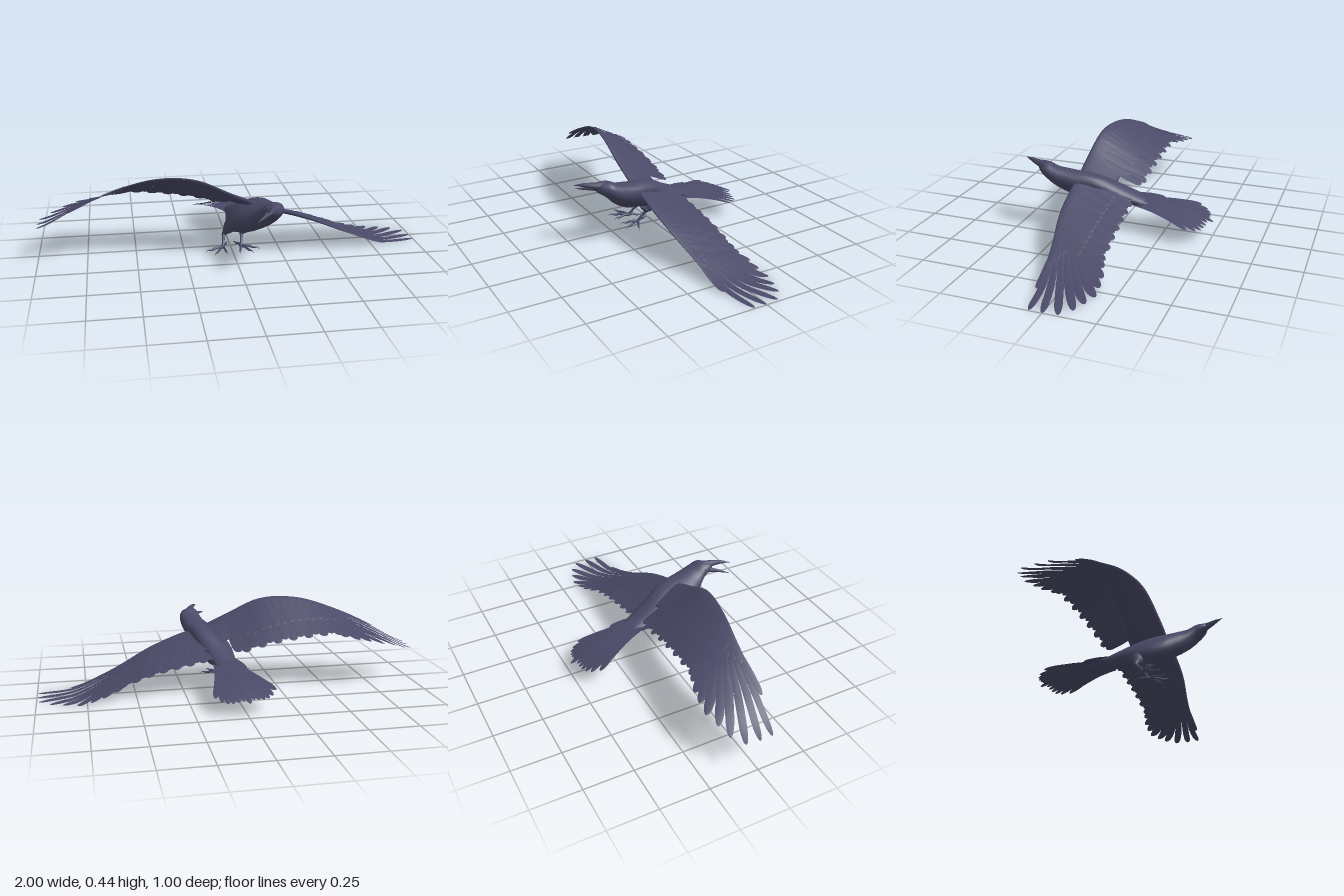
import * as THREE from 'three';

const V = (x, y, z) => new THREE.Vector3(x, y, z);
const lerp = THREE.MathUtils.lerp;
const plumage = new THREE.MeshStandardMaterial({ color: 0x4a4a68, side: THREE.DoubleSide });

// Skin a list of cross-sections (arrays of Vector3 of equal length)
function loft(rows, closed, name) {
  const n = rows[0].length, pos = [], idx = [];
  rows.forEach(r => r.forEach(p => pos.push(p.x, p.y, p.z)));
  for (let i = 0; i < rows.length - 1; i++) {
    for (let j = 0; j < (closed ? n : n - 1); j++) {
      const k = (j + 1) % n, a = i * n + j, b = i * n + k, c = a + n, d = b + n;
      idx.push(a, b, c, b, d, c);
    }
  }
  const g = new THREE.BufferGeometry();
  g.setAttribute('position', new THREE.Float32BufferAttribute(pos, 3));
  g.setIndex(idx);
  g.computeVertexNormals();
  const m = new THREE.Mesh(g, plumage);
  m.name = name;
  return m;
}

// Smooth function through values evenly spaced over from..1
function spline(values, from = 0) {
  const c = new THREE.SplineCurve(values.map((v, i) => new THREE.Vector2(i, v)));
  return u => c.getPoint(THREE.MathUtils.clamp((u - from) / (1 - from), 0, 1)).y;
}

// Round limb along a curve, radius following a list of values
function taper(points, radii, name, seg = 12, sides = 10) {
  const curve = new THREE.CatmullRomCurve3(points.map(p => V(...p)));
  const f = curve.computeFrenetFrames(seg), r = spline(radii), rows = [];
  for (let i = 0; i <= seg; i++) {
    const c = curve.getPointAt(i / seg), rad = Math.max(0.0004, r(i / seg));
    rows.push(Array.from({ length: sides }, (_, j) => {
      const a = j / sides * Math.PI * 2;
      return c.clone().addScaledVector(f.normals[i], Math.cos(a) * rad)
        .addScaledVector(f.binormals[i], Math.sin(a) * rad);
    }));
  }
  return loft(rows, true, name);
}

// Blade drawn in plan (x, z) from base to tip and laid on a height surface
function feather(base, tip, width, bend, height, name) {
  const dx = tip[0] - base[0], dz = tip[1] - base[1], len = Math.hypot(dx, dz);
  const nx = -dz / len, nz = dx / len, rows = [], seg = 14;
  for (let i = 0; i <= seg; i++) {
    const t = 1 - (1 - i / seg) ** 1.5;
    const round = Math.sqrt(Math.max(0, 1 - Math.max(0, (t - 0.8) / 0.2) ** 2));
    const w = width / 2 * Math.min(1, 0.45 + t) * round;
    const off = bend * Math.sin(Math.PI * t);
    rows.push([-1, 0, 1].map(s => {
      const x = base[0] + dx * t + nx * (off + s * w), z = base[1] + dz * t + nz * (off + s * w);
      return V(x, Math.max(0, height(x, z) + (s === 0 ? 0.002 : 0)), z);
    }));
  }
  return loft(rows, false, name);
}

// Wing profile lists run from u = -0.2 (inside the body) to u = 1 (tip)
function makeWing({ side, root, first, lead, slope, edge, name }) {
  const wing = new THREE.Group();
  wing.name = name;
  const [ly, sl, le] = [lead, slope, edge].map(list => spline(list, -0.2));
  const surf = (u, z) => ly(u) - sl(u) * (le(u) - z);
  const add = (b, t, w, bend, lift, part) => wing.add(feather(
    [side * b[0], b[1]], [side * t[0], t[1]], w, side * bend,
    (x, z) => surf(side * x, z) + lift, part));

  // Fleshy leading part of the wing
  const rows = [];
  for (let i = 0; i <= 28; i++) {
    const s = i / 28, u = lerp(root, 0.7, s);
    const chord = lerp(0.19, 0.012, s ** 1.7), thick = lerp(0.024, 0.002, s);
    rows.push(Array.from({ length: 14 }, (_, j) => {
      const a = side * j / 14 * Math.PI * 2, q = (1 - Math.cos(a)) / 2, z = le(u) - chord * q;
      return V(side * u, Math.max(0, surf(u, z) + thick * (Math.sin(a) * (1 - 0.6 * q) - 0.4)), z);
    }));
  }
  wing.add(loft(rows, true, 'wingArm'));

  // Long outer feathers, fanned from the wrist
  const tips = [[0.83, 0.107], [0.997, 0.063], [0.998, 0], [0.99, -0.07], [0.935, -0.118],
    [0.87, -0.142], [0.8, -0.163], [0.73, -0.158], [0.67, -0.15], [0.61, -0.13]];
  tips.forEach((t, i) => {
    const k = i / (tips.length - 1);
    add([lerp(0.56, 0.45, k), lerp(le(0.56) - 0.02, 0.07, k)], t, lerp(0.03, 0.054, k), 0.012 * k,
      -0.0015 * i, 'primaryFeather');
  });

  // Inner trailing feathers and the two covert rows above them
  for (let i = 0; i < 14; i++) {
    const u = lerp(first, 0.57, i / 13);
    add([u - 0.03, 0.08], [u, -0.098 - 0.012 * (i % 2) - 0.015 * i / 13], 0.055, 0,
      -0.004 - 0.003 * (i % 2), 'secondaryFeather');
    add([u - 0.02, le(u) - 0.04], [u + 0.01, lerp(-0.03, -0.01, i / 13)], 0.056, 0,
      0.004 + 0.0015 * (i % 2), 'covertFeather');
  }
  for (let i = 0; i < 5; i++) {
    const u = 0.5 + 0.03 * i;
    add([u - 0.06, le(u) - 0.025], [u + 0.05, le(u) - 0.12 + 0.022 * i], 0.036, 0, 0.003, 'primaryCovert');
  }
  return wing;
}

function makeLeg(name, hip, knee, foot, tips) {
  const leg = new THREE.Group();
  leg.name = name;
  leg.add(taper([hip, hip.map((v, i) => lerp(v, knee[i], 0.5)), knee], [0.042, 0.032, 0.011], 'thigh'));
  leg.add(taper([knee, knee.map((v, i) => lerp(v, foot[i], 0.5)), foot], [0.01, 0.007, 0.008], 'shank'));
  // Toes arch slightly and end in hooked claws
  tips.forEach(([x, z]) => {
    const at = (t, y) => [lerp(foot[0], x, t), y, lerp(foot[2], z, t)];
    leg.add(taper([foot, at(0.35, 0.046), at(0.7, 0.04), at(0.88, 0.044), at(1, 0.034)],
      [0.008, 0.006, 0.006, 0.004, 0.0005], 'toe', 12, 8));
  });
  return leg;
}

export function createModel() {
  const bird = new THREE.Group();
  bird.name = 'bird';

  // Body and head: z, centre x, centre y, half width, half height, lean of the belly to the right
  const sections = [
    [-0.22, 0.033, 0.145, 0.004, 0.003, 0], [-0.19, 0.036, 0.15, 0.04, 0.012, 0], [-0.12, 0.045, 0.164, 0.06, 0.028, 0.2],
    [-0.03, 0.056, 0.184, 0.074, 0.05, 0.4], [0.06, 0.066, 0.201, 0.086, 0.083, 0.6], [0.13, 0.077, 0.216, 0.09, 0.09, 0.65],
    [0.2, 0.1, 0.232, 0.09, 0.083, 0.6], [0.25, 0.122, 0.252, 0.08, 0.073, 0.5], [0.3, 0.145, 0.277, 0.067, 0.06, 0.4],
    [0.34, 0.157, 0.306, 0.056, 0.048, 0.2], [0.37, 0.153, 0.318, 0.044, 0.035, 0], [0.395, 0.145, 0.324, 0.025, 0.024, 0],
    [0.41, 0.14, 0.326, 0.003, 0.003, 0]];
  const [sz, sx, sy, rx, ry, lean] = [0, 1, 2, 3, 4, 5].map(k => spline(sections.map(s => s[k])));
  const rows = [];
  for (let i = 0; i <= 48; i++) {
    const t = i / 48;
    rows.push(Array.from({ length: 28 }, (_, j) => {
      const a = j / 28 * Math.PI * 2, dy = ry(t) * Math.sin(a);
      return V(sx(t) + rx(t) * Math.cos(a) + lean(t) * dy, sy(t) + dy, sz(t));
    }));
  }
  bird.add(loft(rows, true, 'body'));

  // Open beak, turned to the bird's right
  bird.add(taper([[0.155, 0.33, 0.36], [0.145, 0.337, 0.41], [0.126, 0.343, 0.455], [0.1, 0.342, 0.5]],
    [0.026, 0.017, 0.01, 0.001], 'upperBeak', 16, 12));
  bird.add(taper([[0.145, 0.312, 0.355], [0.12, 0.312, 0.395], [0.092, 0.309, 0.435], [0.058, 0.304, 0.472]],
    [0.022, 0.012, 0.007, 0.001], 'lowerBeak', 16, 12));
  for (const x of [0.112, 0.202]) {
    const eye = new THREE.Mesh(new THREE.SphereGeometry(0.006, 12, 8), plumage);
    eye.name = 'eye';
    eye.position.set(x, 0.325, 0.355);
    bird.add(eye);
  }

  // Fanned tail, arched across and drooping, the middle feathers longest and on top
  const tail = new THREE.Group();
  tail.name = 'tail';
  const droop = (x, z) => 0.185 + 0.08 * (z + 0.1) - 0.5 * (z + 0.1) ** 2 - 0.08 * x;
  for (let i = -6; i <= 6; i++) {
    const k = i / 6, tipZ = i === 0 ? -0.5 : -0.475 + 0.075 * k ** 4;
    tail.add(feather([0.043 + 0.05 * k, -0.1], [-0.003 + 0.15 * k, tipZ], 0.038, -0.012 * k,
      (x, z) => droop(x, z) - 0.03 * Math.abs(k), 'tailFeather'));
  }
  // Short coverts over the tail root
  for (let i = -2; i <= 2; i++) {
    tail.add(feather([0.045 + 0.02 * i, -0.06], [0.03 + 0.03 * i, -0.26 + 0.012 * Math.abs(i)], 0.05, 0,
      (x, z) => droop(x, z) + 0.006 - 0.008 * Math.abs(i), 'tailCovert'));
  }
  bird.add(tail);

  // Wings: the right one raised, the left one lowered
  bird.add(makeWing({
    name: 'rightWing', side: -1, root: -0.12, first: 0.04,
    lead: [0.27, 0.35, 0.437, 0.44, 0.378, 0.284, 0.18],
    slope: [0.3, 0.48, 0.62, 0.58, 0.36, 0.15, 0],
    edge: [0.19, 0.195, 0.185, 0.155, 0.125, 0.112, 0.075],
  }));
  bird.add(makeWing({
    name: 'leftWing', side: 1, root: 0.07, first: 0.12,
    lead: [0.33, 0.325, 0.272, 0.195, 0.095, 0.014, 0.003],
    slope: [0.45, 0.42, 0.35, 0.23, 0.12, 0.03, 0],
    edge: [0.19, 0.19, 0.19, 0.178, 0.14, 0.114, 0.075],
  }));

  bird.add(makeLeg('rightLeg', [0.01, 0.16, 0.07], [-0.045, 0.095, 0.07], [-0.055, 0.042, 0.12],
    [[-0.15, 0.16], [-0.11, 0.212], [-0.045, 0.205], [-0.025, 0.055]]));
  bird.add(makeLeg('leftLeg', [0.08, 0.15, 0.08], [0.05, 0.095, 0.07], [0.04, 0.042, 0.115],
    [[0.13, 0.155], [0.09, 0.208], [0.02, 0.205], [0.01, 0.05]]));
  return bird;
}
